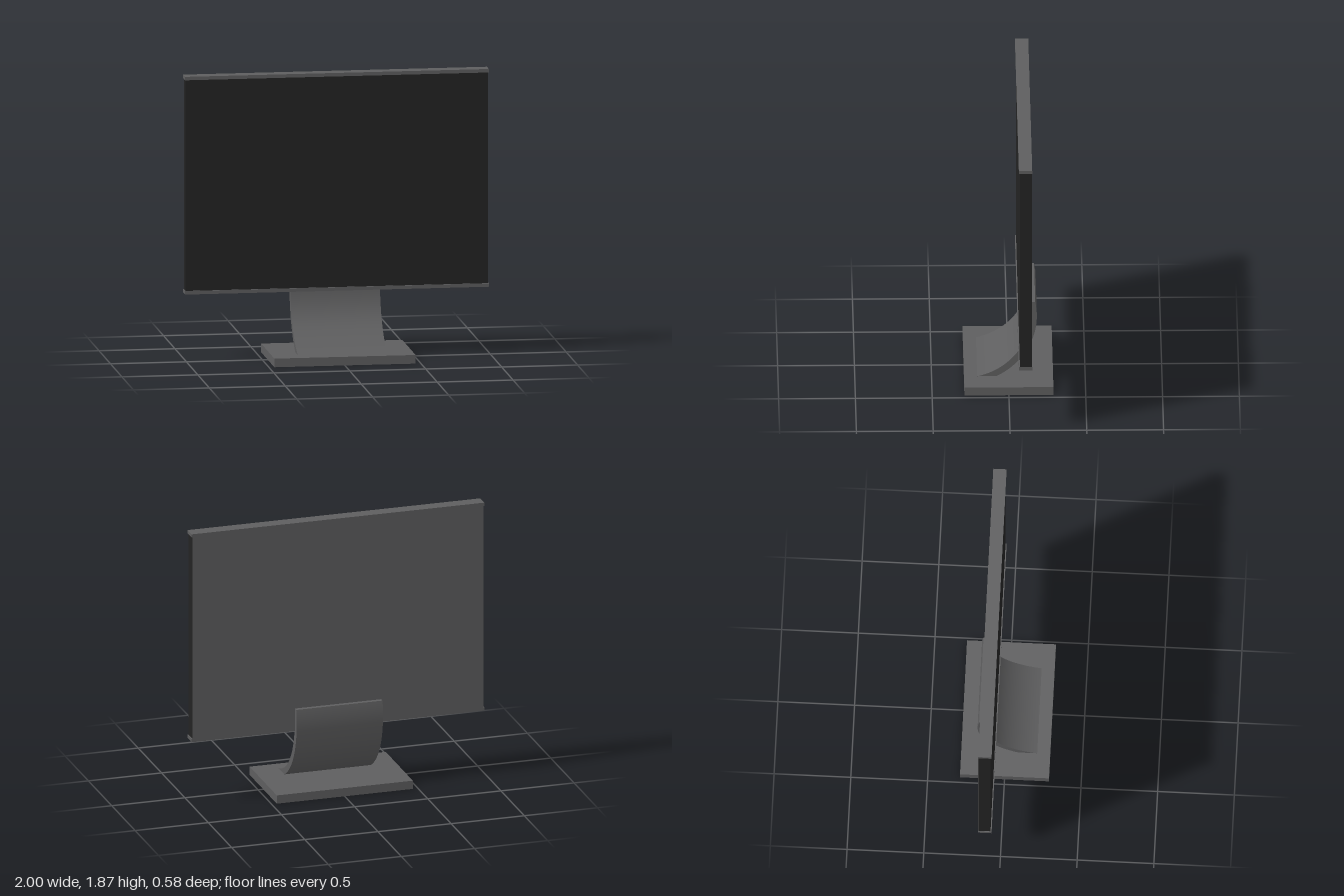
import * as THREE from 'three';
import { toCreasedNormals } from 'three/addons/utils/BufferGeometryUtils.js';

export function createModel() {
  const model = new THREE.Group();
  model.name = 'monitor';

  const grey = new THREE.MeshStandardMaterial({ color: 0x5e5e5f });
  grey.name = 'grey casing';
  const black = new THREE.MeshStandardMaterial({ color: 0x232323 });
  black.name = 'black screen';

  const add = (name, geometry, material) => {
    const mesh = new THREE.Mesh(geometry, material);
    mesh.name = name;
    model.add(mesh);
    return mesh;
  };
  // Box given by its width and its y and z ranges, centred on x
  const box = (name, material, width, y0, y1, z0, z1) =>
    add(name, new THREE.BoxGeometry(width, y1 - y0, z1 - z0), material)
      .position.set(0, (y0 + y1) / 2, (z0 + z1) / 2);

  // Display slab with grey rear cover and trim rails
  box('screen', black, 1.99, 0.45, 1.853, -0.142, -0.065);
  box('rearCover', grey, 1.99, 0.45, 1.853, -0.145, -0.142);
  box('topRail', grey, 2, 1.85, 1.873, -0.145, -0.058);
  box('bottomRail', grey, 2, 0.434, 0.457, -0.145, -0.058);

  // Foot plate
  box('base', grey, 0.93, 0, 0.057, -0.29, 0.29);

  // Curved neck: a band between two arcs, swept across x
  const cz = 0.303, cy = 0.49, outer = 0.487, inner = 0.444;
  const angleAt = (r, y) => Math.PI - Math.asin((y - cy) / r);
  const band = new THREE.Shape();
  band.absarc(cz, cy, outer, angleAt(outer, 0.59), angleAt(outer, 0.05), false);
  band.absarc(cz, cy, inner, angleAt(inner, 0.05), angleAt(inner, 0.59), true);
  band.closePath();
  const neck = new THREE.ExtrudeGeometry(band, { depth: 0.59, bevelEnabled: false, curveSegments: 32 });
  neck.translate(0, 0, -0.295).rotateY(-Math.PI / 2);
  add('neck', toCreasedNormals(neck, 0.6), grey);

  return model;
}
